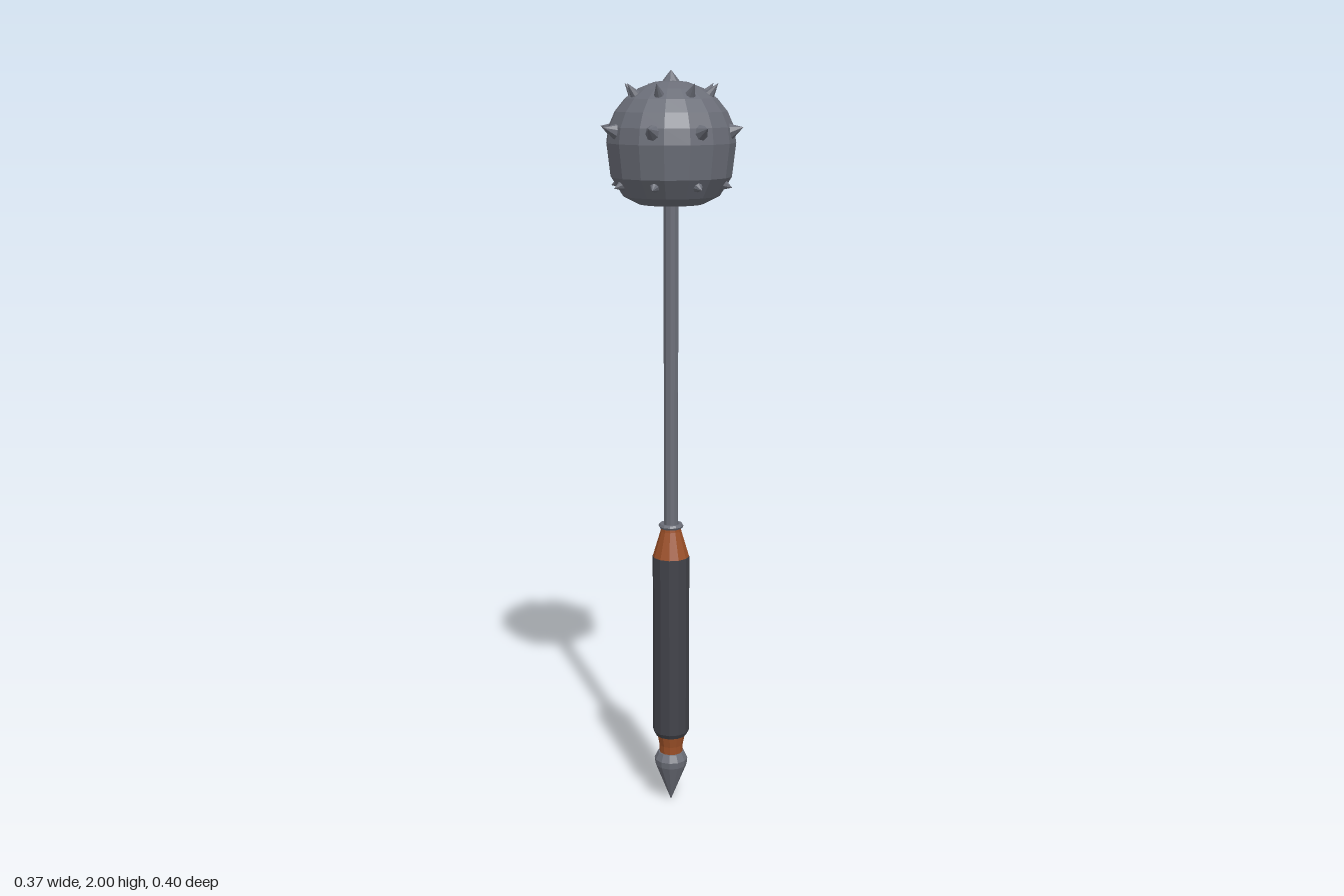
import * as THREE from 'three';

export function createModel() {
  const mat = (name, color) => {
    const m = new THREE.MeshStandardMaterial({ color, flatShading: true });
    m.name = name;
    return m;
  };
  const steel = mat('steel', 0x6b6e78);
  const wood = mat('wood', 0x9c5028);
  const leather = mat('leather', 0x42434a);

  const root = new THREE.Group();
  root.name = 'spikedMace';

  const add = (name, geometry, material, parent = root) => {
    const m = new THREE.Mesh(geometry, material);
    m.name = name;
    parent.add(m);
    return m;
  };
  const lathe = (points, sides) =>
    new THREE.LatheGeometry(points.map(([r, y]) => new THREE.Vector2(r, y)), sides);

  // Handle, from the pointed pommel up to the collar
  add('pommel', lathe([
    [0, 0], [0.038, 0.095], [0.044, 0.11], [0.046, 0.128], [0.036, 0.148], [0, 0.15],
  ], 12), steel);
  add('lowerCollar', lathe([
    [0, 0.145], [0.032, 0.145], [0.033, 0.17], [0.041, 0.21], [0, 0.21],
  ], 12), wood);
  add('grip', lathe([
    [0, 0.2], [0.043, 0.2], [0.05, 0.213], [0.05, 0.72], [0, 0.72],
  ], 12), leather);
  add('upperCollar', lathe([
    [0, 0.715], [0.05, 0.718], [0.028, 0.792], [0.026, 0.805], [0, 0.805],
  ], 12), wood);
  const ring = add('collarRing', new THREE.TorusGeometry(0.027, 0.007, 6, 12), steel);
  ring.rotation.x = Math.PI / 2;
  ring.position.y = 0.806;

  // Shaft
  const shaft = add('shaft', new THREE.CylinderGeometry(0.02, 0.019, 0.88, 10), steel);
  shaft.position.y = 1.24;

  // Head, slightly narrower from side to side
  const head = new THREE.Group();
  head.name = 'head';
  head.scale.x = 0.927;
  root.add(head);

  const R = 0.179, midY = 1.82;
  const profile = [[0, 1.66], [0.09, 1.666], [0.135, 1.687], [0.168, 1.735]];
  for (let i = 0; i <= 6; i++) {
    const a = (i / 6) * Math.PI / 2;
    profile.push([i === 6 ? 0 : R * Math.cos(a), midY + 0.155 * Math.sin(a)]);
  }
  add('ball', lathe(profile, 16), steel, head);

  // Spikes: each cone runs from a base point to its tip
  const up = new THREE.Vector3(0, 1, 0);
  const spike = (base, tip, radius) => {
    const dir = tip.clone().sub(base);
    const m = add('spike', new THREE.ConeGeometry(radius, dir.length(), 8), steel, head);
    m.position.copy(base).addScaledVector(dir, 0.5);
    m.quaternion.setFromUnitVectors(up, dir.normalize());
  };
  spike(new THREE.Vector3(0, 1.962, 0), new THREE.Vector3(0, 2, 0), 0.032);

  // Rings of eight: base radius, base height, tip radius, tip height, cone radius
  const rings = [
    [0.097, 1.925, 0.133, 1.967, 0.021],
    [0.155, 1.846, 0.204, 1.86, 0.028],
    [0.138, 1.722, 0.174, 1.71, 0.022],
  ];
  for (const [br, by, tr, ty, radius] of rings) {
    for (let i = 0; i < 8; i++) {
      const a = -0.19 + (i * Math.PI) / 4;
      const at = (r, y) => new THREE.Vector3(r * Math.sin(a), y, r * Math.cos(a));
      spike(at(br, by), at(tr, ty), radius);
    }
  }
  return root;
}
